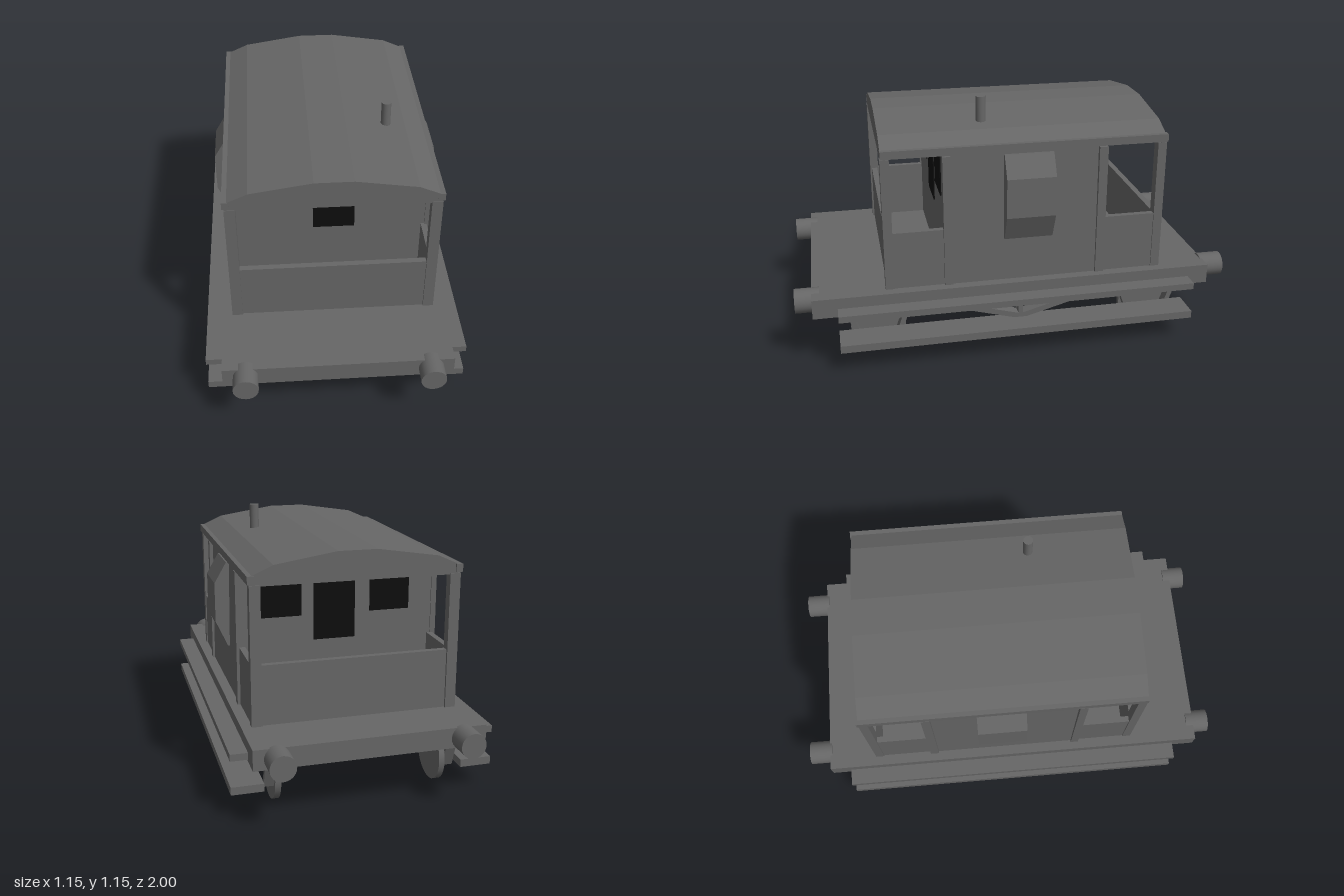
import * as THREE from 'three';

export function createModel() {
  const model = new THREE.Group();
  const grey = new THREE.MeshStandardMaterial({ color: 0x666666 });
  grey.name = 'dark grey';
  const black = new THREE.MeshStandardMaterial({ color: 0x0e0e0e });
  black.name = 'window black';

  const add = (name, geometry, material = grey) => {
    const mesh = new THREE.Mesh(geometry, material);
    mesh.name = name;
    model.add(mesh);
    return mesh;
  };
  // Box given by its limits on each axis
  const box = (name, x0, x1, y0, y1, z0, z1, material) => {
    const mesh = add(name, new THREE.BoxGeometry(Math.abs(x1 - x0), y1 - y0, z1 - z0), material);
    mesh.position.set((x0 + x1) / 2, (y0 + y1) / 2, (z0 + z1) / 2);
    return mesh;
  };
  // Straight bar in the y-z plane between two [y, z] points
  const bar = (name, x, width, a, b, thickness) => {
    const dy = b[0] - a[0], dz = b[1] - a[1];
    const mesh = add(name, new THREE.BoxGeometry(width, thickness, Math.hypot(dy, dz)));
    mesh.position.set(x, (a[0] + b[0]) / 2, (a[1] + b[1]) / 2);
    mesh.rotation.x = -Math.atan2(dy, dz);
    return mesh;
  };
  // Outline in x-y extruded from z0 to z1
  const slab = (name, points, z0, z1) => {
    const shape = new THREE.Shape(points.map(([x, y]) => new THREE.Vector2(x, y)));
    const geometry = new THREE.ExtrudeGeometry(shape, { depth: z1 - z0, bevelEnabled: false });
    return add(name, geometry.translate(0, 0, z0));
  };

  // Chassis
  box('chassis', -0.5, 0.5, 0.25, 0.34, -0.9, 0.925);

  // Arched roof: thin shell closed by gables
  const arch = [[0.455, 0.98], [0.355, 1.025], [0.085, 1.067], [-0.085, 1.067], [-0.355, 1.025], [-0.455, 0.98]];
  const inner = arch.map(([x, y]) => [x * 0.98, y - 0.018]);
  slab('roofShell', [...arch, ...inner.slice().reverse()], -0.665, 0.595);
  const gable = [[-0.455, 0.94], [0.455, 0.94], ...arch];
  slab('frontGable', gable, 0.575, 0.597);
  slab('backGable', gable, -0.667, -0.645);

  // Cabin, reaching up under the roof
  slab('cabin', [[-0.455, 0.34], [0.455, 0.34], ...inner.map(([x, y]) => [x, y + 0.005])], -0.395, 0.33);

  // Windows and doors on both cabin ends
  for (const [z0, z1] of [[0.329, 0.335], [-0.4, -0.394]]) {
    box('leftWindow', 0.17, 0.36, 0.73, 0.92, z0, z1, black);
    box('rightWindow', -0.33, -0.145, 0.73, 0.92, z0, z1, black);
    box('doorWindow', -0.075, 0.115, 0.615, 0.92, z0, z1, black);
  }

  // Balcony end walls
  box('frontBalconyWall', -0.45, 0.45, 0.34, 0.605, 0.565, 0.592);
  box('backBalconyWall', -0.45, 0.45, 0.34, 0.605, -0.662, -0.635);

  // Stove pipe
  add('chimney', new THREE.CylinderGeometry(0.022, 0.022, 0.13, 16)).position.set(0.267, 1.085, 0.135);

  for (const s of [-1, 1]) {
    // Eave and balcony side walls
    box('eave', s * 0.435, s * 0.465, 0.95, 0.985, -0.675, 0.598);
    box('balconySideWall', s * 0.425, s * 0.452, 0.34, 0.605, 0.33, 0.57);
    box('balconySideWall', s * 0.425, s * 0.452, 0.34, 0.605, -0.64, -0.395);

    // Corner and cabin posts
    for (const [z0, z1] of [[0.56, 0.6], [-0.672, -0.632]])
      box('cornerPost', s * 0.41, s * 0.457, 0.34, 0.945, z0, z1);
    for (const [z0, z1] of [[0.3, 0.336], [-0.4, -0.36]])
      box('cabinPost', s * 0.44, s * 0.465, 0.34, 0.945, z0, z1);

    // Projecting lookout
    slab('lookout', [[0.44, 0.54], [0.46, 0.54], [0.515, 0.66], [0.515, 0.84], [0.46, 0.935], [0.44, 0.935]]
      .map(([x, y]) => [s * x, y]), -0.155, 0.065);

    // Footboards
    box('upperFootboard', s * 0.49, s * 0.575, 0.26, 0.29, -0.805, 0.815);
    box('lowerFootboard', s * 0.435, s * 0.575, 0.11, 0.145, -0.805, 0.815);

    // Truss rods
    bar('trussRod', s * 0.445, 0.05, [0.255, 0.37], [0.15, -0.01], 0.025);
    bar('trussRod', s * 0.445, 0.05, [0.255, -0.39], [0.15, -0.01], 0.025);
    box('trussPost', s * 0.42, s * 0.47, 0.14, 0.255, -0.02, 0);

    for (const e of [-1, 1]) {
      // Wheels and slanted axle guards
      const wheel = add('wheel', new THREE.CylinderGeometry(0.125, 0.125, 0.026, 32));
      wheel.rotation.z = Math.PI / 2;
      wheel.position.set(s * 0.367, 0.125, e * 0.637);
      for (const d of [-1, 1])
        bar('axleGuard', s * 0.402, 0.045, [0.255, e * 0.637 + d * 0.145], [0.1, e * 0.637 + d * 0.09], 0.022);

      // Buffers
      const buffer = add('buffer', new THREE.CylinderGeometry(0.055, 0.055, 0.11, 24));
      buffer.rotation.x = Math.PI / 2;
      buffer.position.set(s * 0.4, 0.295, e * 0.945);
    }
  }
  return model;
}
